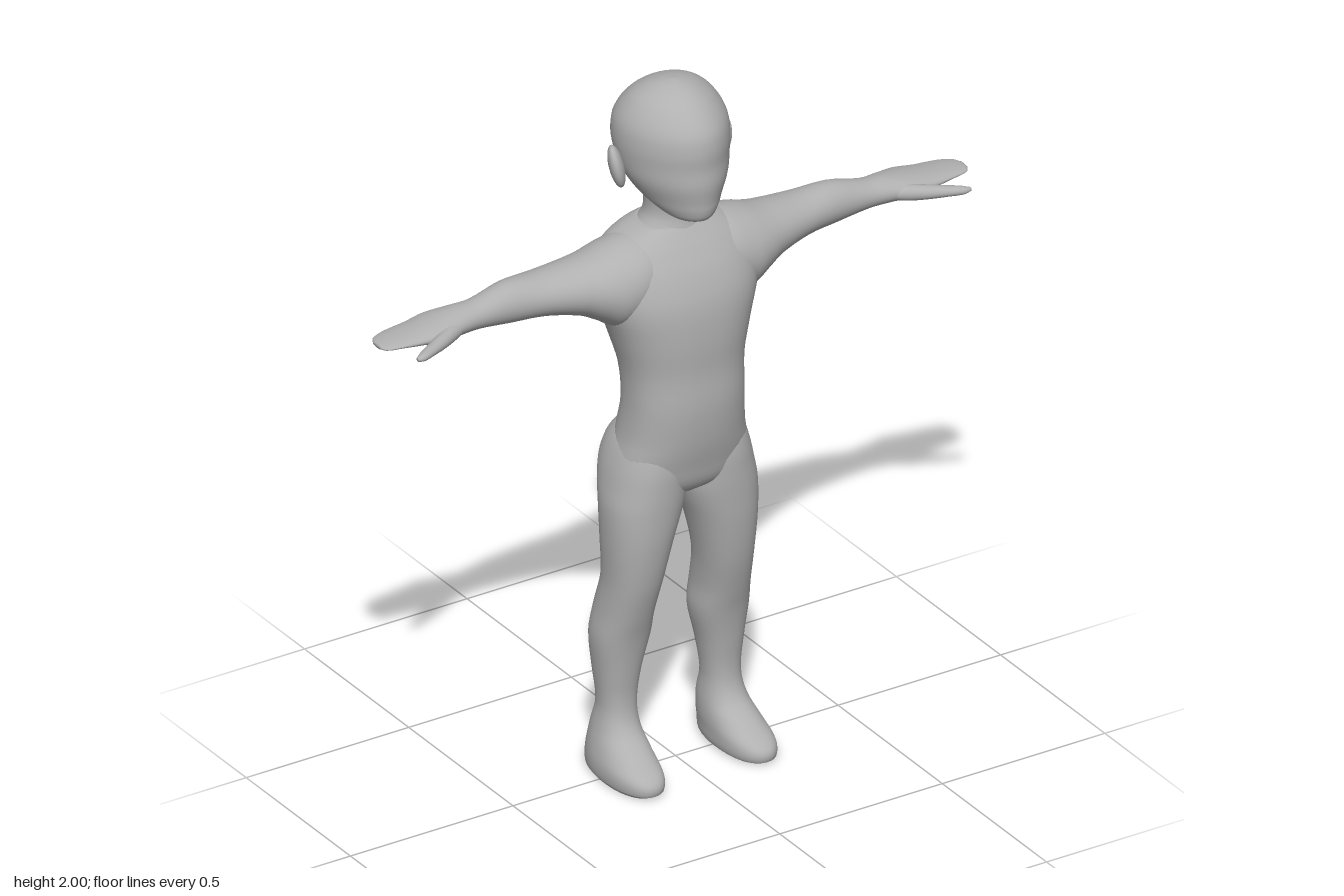
import * as THREE from 'three';

const skin = new THREE.MeshStandardMaterial({ color: 0xb0b0b0 });
skin.name = 'plain grey';

// Smooth interpolation through the rows of a section table
function sample(rows, t) {
  let i = 0;
  while (i < rows.length - 2 && t > rows[i + 1][0]) i++;
  const p = rows[i], q = rows[i + 1], h = q[0] - p[0], u = (t - p[0]) / h;
  const before = rows[Math.max(i - 1, 0)], after = rows[Math.min(i + 2, rows.length - 1)];
  return p.map((v, k) => {
    const m0 = (q[k] - before[k]) / (q[0] - before[0]);
    const m1 = (after[k] - v) / (after[0] - p[0]);
    const u2 = u * u, u3 = u2 * u;
    return (2 * u3 - 3 * u2 + 1) * v + (u3 - 2 * u2 + u) * h * m0
      + (3 * u2 - 2 * u3) * q[k] + (u3 - u2) * h * m1;
  });
}

// Closed loft of rounded sections [t, aMin, aMax, bMin, bMax].
// Axis y: t = y, a = x, b = z.  Axis x: t = x, a = z, b = y.
function loft(axis, rows, { power = 2, taper = 0, sides = 40, steps = 4 } = {}) {
  const pos = [], index = [], rings = [];
  const put = (t, a, b) => (axis === 'y' ? pos.push(a, t, b) : pos.push(t, b, a));
  rows.slice(0, -1).forEach((r, i) => {
    for (let s = 0; s < steps; s++) rings.push(r[0] + (rows[i + 1][0] - r[0]) * s / steps);
  });
  rings.push(rows[rows.length - 1][0]);
  const round = (v) => Math.sign(v) * Math.pow(Math.abs(v), 2 / power);
  for (const t of rings) {
    const [, a0, a1, b0, b1] = sample(rows, t);
    for (let j = 0; j < sides; j++) {
      const w = j / sides * Math.PI * 2, c = round(Math.cos(w)), s = round(Math.sin(w));
      put(t, (a0 + a1) / 2 + c * (a1 - a0) / 2 * (1 - taper * s), (b0 + b1) / 2 + s * (b1 - b0) / 2);
    }
  }
  const last = rings.length - 1;
  for (let i = 0; i < last; i++) {
    for (let j = 0; j < sides; j++) {
      const a = i * sides + j, b = i * sides + (j + 1) % sides;
      index.push(a, a + sides, b, b, a + sides, b + sides);
    }
  }
  // End caps
  const lo = pos.length / 3, hi = lo + 1;
  for (const r of [rows[0], rows[rows.length - 1]]) put(r[0], (r[1] + r[2]) / 2, (r[3] + r[4]) / 2);
  for (let j = 0; j < sides; j++) {
    const k = (j + 1) % sides;
    index.push(lo, j, k, hi, last * sides + k, last * sides + j);
  }
  const geo = new THREE.BufferGeometry();
  geo.setAttribute('position', new THREE.Float32BufferAttribute(pos, 3));
  geo.setIndex(index);
  geo.computeVertexNormals();
  return geo;
}

// Copy reflected to the model's right, with corner order restored
function mirrored(geo) {
  const g = geo.clone().scale(-1, 1, 1), ix = g.index.array;
  for (let i = 0; i < ix.length; i += 3) [ix[i], ix[i + 1]] = [ix[i + 1], ix[i]];
  g.computeVertexNormals();
  return g;
}

export function createModel() {
  const model = new THREE.Group();
  model.name = 'figure';
  const add = (name, geo) => {
    const mesh = new THREE.Mesh(geo, skin);
    mesh.name = name;
    model.add(mesh);
  };
  const pair = (name, geo) => {
    add('left' + name, geo);
    add('right' + name, mirrored(geo));
  };

  // Trunk from crotch to shoulders
  add('torso', loft('y', [
    [0.81, -0.05, 0.05, -0.03, 0.06],
    [0.85, -0.16, 0.16, -0.07, 0.11],
    [0.92, -0.19, 0.19, -0.105, 0.132],
    [1.0, -0.175, 0.175, -0.108, 0.15],
    [1.1, -0.166, 0.166, -0.092, 0.16],
    [1.2, -0.17, 0.17, -0.105, 0.157],
    [1.3, -0.195, 0.195, -0.135, 0.16],
    [1.4, -0.225, 0.225, -0.15, 0.152],
    [1.48, -0.225, 0.225, -0.15, 0.125],
    [1.54, -0.2, 0.2, -0.138, 0.09],
    [1.575, -0.145, 0.145, -0.12, 0.065],
    [1.595, -0.09, 0.09, -0.095, 0.05],
  ], { power: 2.3 }));

  add('neck', loft('y', [
    [1.52, -0.15, 0.15, -0.13, 0.08],
    [1.575, -0.105, 0.105, -0.108, 0.06],
    [1.62, -0.077, 0.077, -0.09, 0.05],
    [1.68, -0.078, 0.078, -0.092, 0.055],
    [1.76, -0.08, 0.08, -0.1, 0.06],
  ]));

  // Head, narrower toward the face
  add('head', loft('y', [
    [1.638, -0.025, 0.025, 0.065, 0.115],
    [1.645, -0.055, 0.055, 0.02, 0.138],
    [1.67, -0.085, 0.085, -0.05, 0.15],
    [1.7, -0.108, 0.108, -0.105, 0.153],
    [1.75, -0.135, 0.135, -0.145, 0.159],
    [1.8, -0.147, 0.147, -0.167, 0.156],
    [1.85, -0.151, 0.151, -0.176, 0.157],
    [1.9, -0.143, 0.143, -0.167, 0.145],
    [1.95, -0.112, 0.112, -0.13, 0.105],
    [1.98, -0.073, 0.073, -0.087, 0.062],
    [1.995, -0.035, 0.035, -0.045, 0.025],
    [2.0, -0.006, 0.006, -0.015, 0],
  ], { taper: 0.14 }));

  // Ears flare out from the sides of the head
  const ear = new THREE.SphereGeometry(1, 24, 16);
  ear.scale(0.02, 0.062, 0.036).rotateZ(-0.22).rotateY(0.5).translate(0.158, 1.772, -0.037);
  pair('Ear', ear);

  // Arm and flat hand
  pair('Arm', loft('x', [
    [0.06, -0.11, 0.07, 1.42, 1.57],
    [0.13, -0.128, 0.1, 1.36, 1.577],
    [0.2, -0.132, 0.1, 1.335, 1.565],
    [0.25, -0.122, 0.085, 1.363, 1.55],
    [0.3, -0.115, 0.065, 1.388, 1.54],
    [0.4, -0.106, 0.036, 1.41, 1.53],
    [0.5, -0.09, 0.02, 1.417, 1.532],
    [0.6, -0.076, 0.014, 1.43, 1.51],
    [0.66, -0.086, 0.022, 1.432, 1.505],
    [0.72, -0.1, 0.034, 1.435, 1.497],
    [0.78, -0.09, 0.03, 1.445, 1.488],
    [0.85, -0.081, 0.02, 1.455, 1.48],
    [0.89, -0.065, 0.01, 1.459, 1.475],
    [0.902, -0.045, -0.005, 1.462, 1.472],
  ]));

  pair('Thumb', loft('x', [
    [0.64, -0.03, 0.01, 1.455, 1.48],
    [0.69, -0.015, 0.035, 1.442, 1.487],
    [0.74, 0.012, 0.06, 1.443, 1.483],
    [0.79, 0.042, 0.082, 1.448, 1.478],
    [0.83, 0.067, 0.097, 1.452, 1.474],
    [0.85, 0.083, 0.095, 1.458, 1.469],
  ], { sides: 20 }));

  // Leg, buttock and foot in one sweep
  pair('Leg', loft('y', [
    [0, 0.115, 0.235, -0.105, 0.155],
    [0.012, 0.103, 0.243, -0.122, 0.175],
    [0.045, 0.1, 0.244, -0.124, 0.168],
    [0.08, 0.1, 0.236, -0.12, 0.11],
    [0.13, 0.104, 0.222, -0.11, 0.043],
    [0.2, 0.109, 0.211, -0.091, 0.02],
    [0.3, 0.095, 0.22, -0.104, 0.028],
    [0.4, 0.072, 0.23, -0.112, 0.045],
    [0.48, 0.073, 0.222, -0.103, 0.068],
    [0.58, 0.063, 0.216, -0.078, 0.095],
    [0.7, 0.036, 0.221, -0.085, 0.114],
    [0.8, 0.004, 0.222, -0.1, 0.121],
    [0.86, -0.004, 0.213, -0.122, 0.123],
    [0.92, -0.005, 0.2, -0.13, 0.122],
    [0.98, 0.005, 0.178, -0.112, 0.11],
    [1.04, 0.04, 0.14, -0.06, 0.07],
  ], { power: 2.2 }));

  return model;
}
